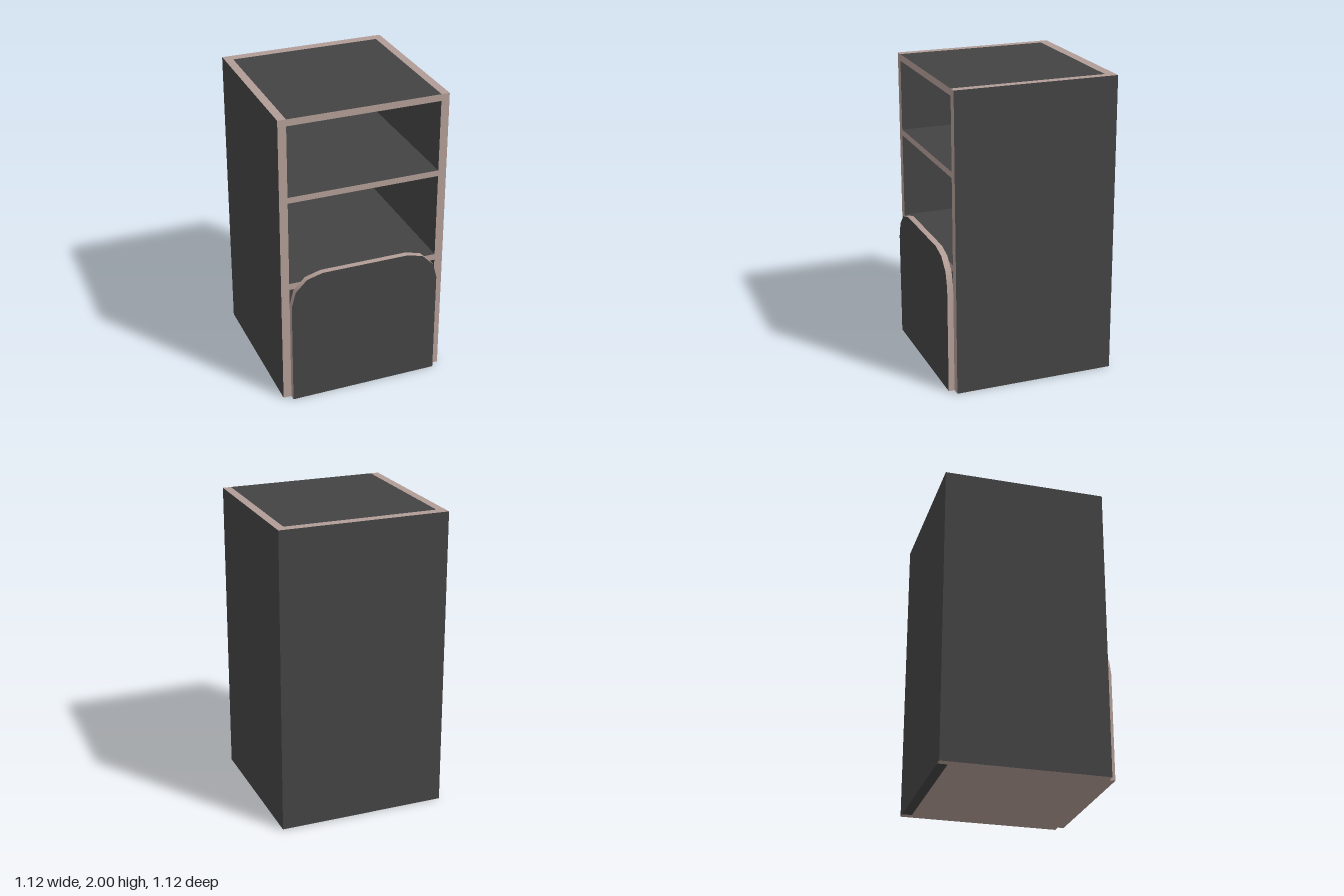
import * as THREE from 'three';
import { toCreasedNormals } from 'three/addons/utils/BufferGeometryUtils.js';

export function createModel() {
  const group = new THREE.Group();
  const dark = new THREE.MeshStandardMaterial({ color: 0x434343 });
  dark.name = 'charcoal panel';
  const edge = new THREE.MeshStandardMaterial({ color: 0xb29c96 });
  edge.name = 'dusty pink edging';

  // A board between two corners; edged lists the faces that carry edging
  const faces = ['+x', '-x', '+y', '-y', '+z', '-z'];
  function board(name, [x0, y0, z0], [x1, y1, z1], edged) {
    const geo = new THREE.BoxGeometry(x1 - x0, y1 - y0, z1 - z0);
    const mesh = new THREE.Mesh(geo, faces.map(f => (edged.includes(f) ? edge : dark)));
    mesh.position.set((x0 + x1) / 2, (y0 + y1) / 2, (z0 + z1) / 2);
    mesh.name = name;
    group.add(mesh);
  }

  const W = 0.56, inner = 0.505, front = 0.52, back = -0.56, backInner = -0.495;

  // Carcass
  board('leftSide', [inner, 0, back], [W, 2, front], ['+y', '-y', '+z']);
  board('rightSide', [-W, 0, back], [-inner, 2, front], ['+y', '-y', '+z']);
  board('backPanel', [-inner, 0, back], [inner, 2, backInner], ['+y']);

  // Horizontal boards: bottom and top heights
  board('topPanel', [-inner, 1.955, backInner], [inner, 2, front], ['+z']);
  board('upperShelf', [-inner, 1.44, backInner], [inner, 1.48, front], ['+z']);
  board('lowerShelf', [-inner, 0.825, backInner], [inner, 0.868, front], ['+z']);
  board('bottomPanel', [-inner, 0, backInner], [inner, 0.045, front], ['-y', '+z']);

  // Door with faceted round shoulders and an edged rim
  const shoulder = [[0.505, 0.715], [0.477, 0.82], [0.4, 0.897], [0.295, 0.926]];
  const outline = [
    [-0.505, 0], [0.505, 0], ...shoulder,
    ...shoulder.slice().reverse().map(([x, y]) => [-x, y]),
  ].map(([x, y]) => new THREE.Vector2(x, y));
  const doorGeo = new THREE.ExtrudeGeometry(new THREE.Shape(outline), { depth: 0.04, bevelEnabled: false });
  const door = new THREE.Mesh(toCreasedNormals(doorGeo, 0.7), [dark, edge]);
  door.position.z = front;
  door.name = 'door';
  group.add(door);

  return group;
}
